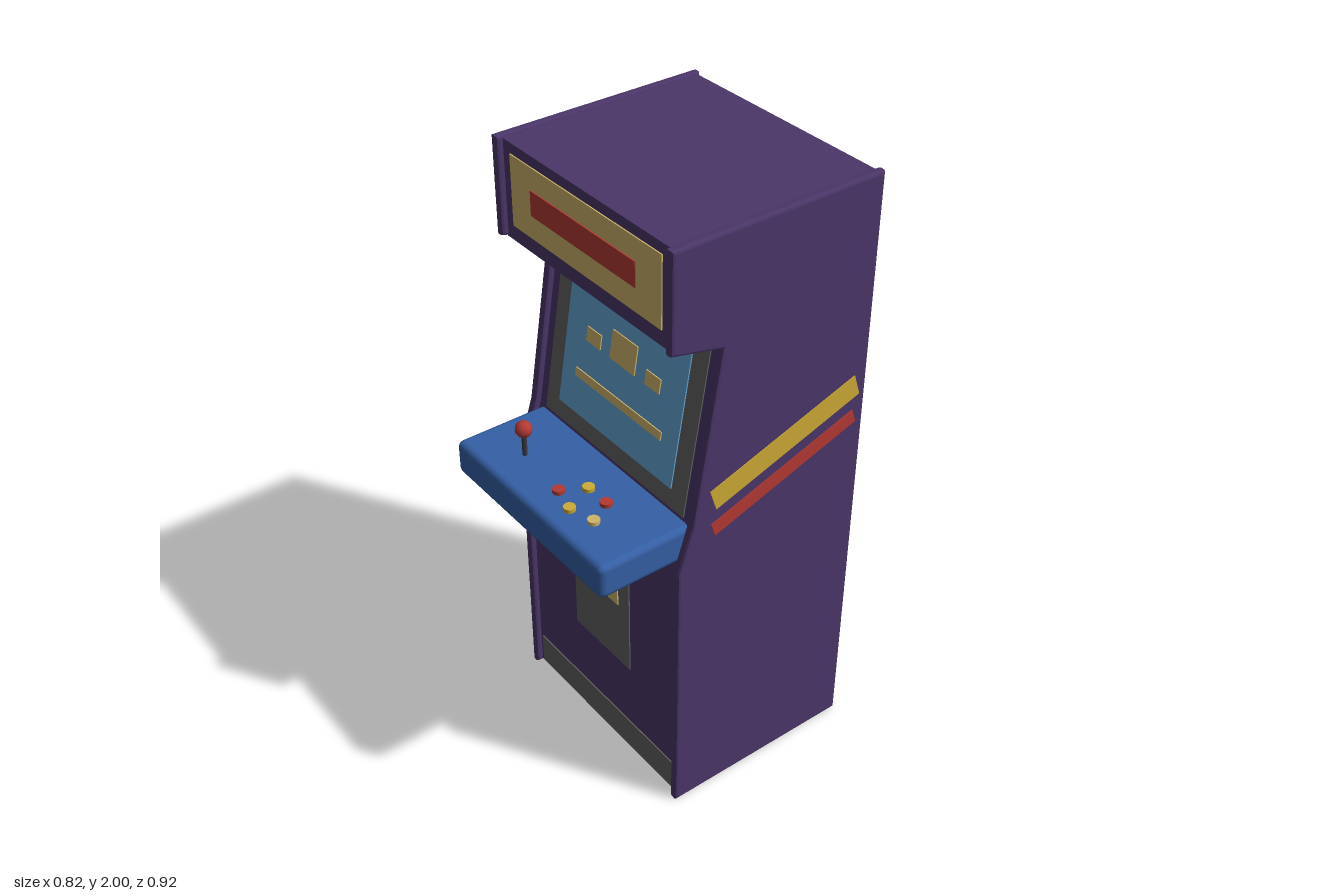
import * as THREE from 'three';
import { RoundedBoxGeometry } from 'three/addons/geometries/RoundedBoxGeometry.js';

const mat = (name, color) => {
  const m = new THREE.MeshStandardMaterial({ color });
  m.name = name;
  return m;
};

export function createModel() {
  const purple = mat('cabinet purple', 0x4b3669);
  const blue = mat('deck blue', 0x3560a6);
  const grey = mat('panel grey', 0x626262);
  const cream = mat('cream', 0xcfb46c);
  const red = mat('red', 0xb43a34);
  const yellow = mat('yellow', 0xcdab36);
  const sky = mat('screen blue', 0x64a5d6);
  const dark = mat('shaft grey', 0x3a3a40);

  const model = new THREE.Group();
  model.name = 'arcadeCabinet';

  const add = (parent, name, geometry, material, x = 0, y = 0, z = 0) => {
    const mesh = new THREE.Mesh(geometry, material);
    mesh.name = name;
    mesh.position.set(x, y, z);
    parent.add(mesh);
    return mesh;
  };
  // Thin painted plate spanning x0..x1, y0..y1 with its face raised to z
  const plate = (parent, name, material, x0, x1, y0, y1, z) =>
    add(parent, name, new THREE.BoxGeometry(x1 - x0, y1 - y0, 0.006), material,
      (x0 + x1) / 2, (y0 + y1) / 2, z - 0.003);
  const face = (name, y, z) => {
    const g = new THREE.Group();
    g.name = name;
    g.position.set(0, y, z);
    model.add(g);
    return g;
  };

  // Side panels: one bevelled silhouette, used twice
  const outline = [[-0.46, 0], [0.215, 0], [0.215, 0.94], [0.167, 1.09],
    [0.077, 1.655], [0.247, 1.695], [0.247, 2], [-0.46, 2]];
  const bevel = 0.008;
  const sideGeo = new THREE.ExtrudeGeometry(
    new THREE.Shape(outline.map(([z, y]) => new THREE.Vector2(z, y))),
    { depth: 0.03 - 2 * bevel, bevelThickness: bevel, bevelSize: bevel, bevelOffset: -bevel, bevelSegments: 2 });
  sideGeo.translate(0, 0, -0.015 + bevel).rotateY(-Math.PI / 2);
  for (const [s, side] of [[1, 'left'], [-1, 'right']]) {
    add(model, side + 'SidePanel', sideGeo, purple, s * 0.39, 0, 0);
    // Slanted stripes, rising toward the back
    for (const [name, material, y, len, h] of [
      ['UpperStripe', yellow, 1.25, 0.55, 0.074], ['LowerStripe', red, 1.143, 0.546, 0.048]]) {
      add(model, side + name, new THREE.BoxGeometry(0.006, h, len), material,
        s * 0.405, y, -0.163).rotation.x = 0.32;
    }
  }

  // Body shell: panels between the sides, open at the bottom
  const shell = [['backPanel', -0.455, 0.005], ['topPanel', -0.455, 1.992], ['marqueePanel', 0.227, 1.992],
    ['marqueeUnderside', 0.227, 1.69], ['screenPanel', 0.057, 1.65], ['deckSupport', 0.147, 1.09],
    ['frontPanel', 0.195, 0.94], ['end', 0.195, 0.005]];
  const t = 0.016;
  for (let i = 0; i < shell.length - 1; i++) {
    const [name, z0, y0] = shell[i];
    const [, z1, y1] = shell[i + 1];
    const dz = z1 - z0, dy = y1 - y0, len = Math.hypot(dz, dy);
    add(model, name, new THREE.BoxGeometry(0.76, t, len), purple, 0,
      (y0 + y1) / 2 - (dz / len) * t / 2, (z0 + z1) / 2 + (dy / len) * t / 2)
      .rotation.x = -Math.atan2(dy, dz);
  }

  // Marquee sign
  const marquee = face('marquee', 1.85, 0.227);
  plate(marquee, 'marqueeSign', cream, -0.34, 0.34, -0.11, 0.11, 0.004);
  plate(marquee, 'marqueeBar', red, -0.24, 0.235, -0.035, 0.042, 0.008);

  // Tilted bezel and screen with blocky picture
  const screen = face('screen', 1.09, 0.147);
  screen.rotation.x = -Math.atan2(0.09, 0.56);
  plate(screen, 'bezel', grey, -0.34, 0.34, -0.005, 0.56, 0.004);
  plate(screen, 'screenGlass', sky, -0.275, 0.275, 0.055, 0.516, 0.008);
  for (const [name, x0, x1, y0, y1] of [
    ['leftBlock', 0.105, 0.172, 0.308, 0.354], ['rightBlock', -0.175, -0.107, 0.308, 0.354],
    ['middleBlock', -0.06, 0.057, 0.308, 0.4], ['groundBar', -0.207, 0.205, 0.176, 0.203]]) {
    plate(screen, name, cream, x0, x1, y0, y1, 0.012);
  }

  // Coin door and kick plate
  const front = face('lowerFront', 0, 0.195);
  plate(front, 'coinDoor', grey, -0.144, 0.142, 0.36, 0.733, 0.004);
  plate(front, 'rightCoinSlot', cream, -0.093, -0.045, 0.598, 0.675, 0.008);
  plate(front, 'leftCoinSlot', cream, 0.04, 0.088, 0.598, 0.675, 0.008);
  plate(front, 'kickPlate', grey, -0.362, 0.362, 0.012, 0.124, 0.004);

  // Control deck
  add(model, 'controlDeck', new RoundedBoxGeometry(0.742, 0.117, 0.33, 2, 0.022), blue, 0, 1.0165, 0.295);

  // Joystick
  add(model, 'joystickShaft', new THREE.CylinderGeometry(0.008, 0.008, 0.085, 8), dark, -0.186, 1.115, 0.333);
  add(model, 'joystickBall', new THREE.SphereGeometry(0.027, 10, 8), red, -0.186, 1.168, 0.333);

  // Buttons
  const buttonGeo = new THREE.CylinderGeometry(0.019, 0.019, 0.016, 12);
  for (const [x, z, m] of [[0.064, 0.28, yellow], [0.151, 0.28, red], [0.021, 0.355, red],
    [0.107, 0.377, yellow], [0.194, 0.355, cream]]) {
    add(model, 'button', buttonGeo, m, x, 1.08, z);
  }
  return model;
}
